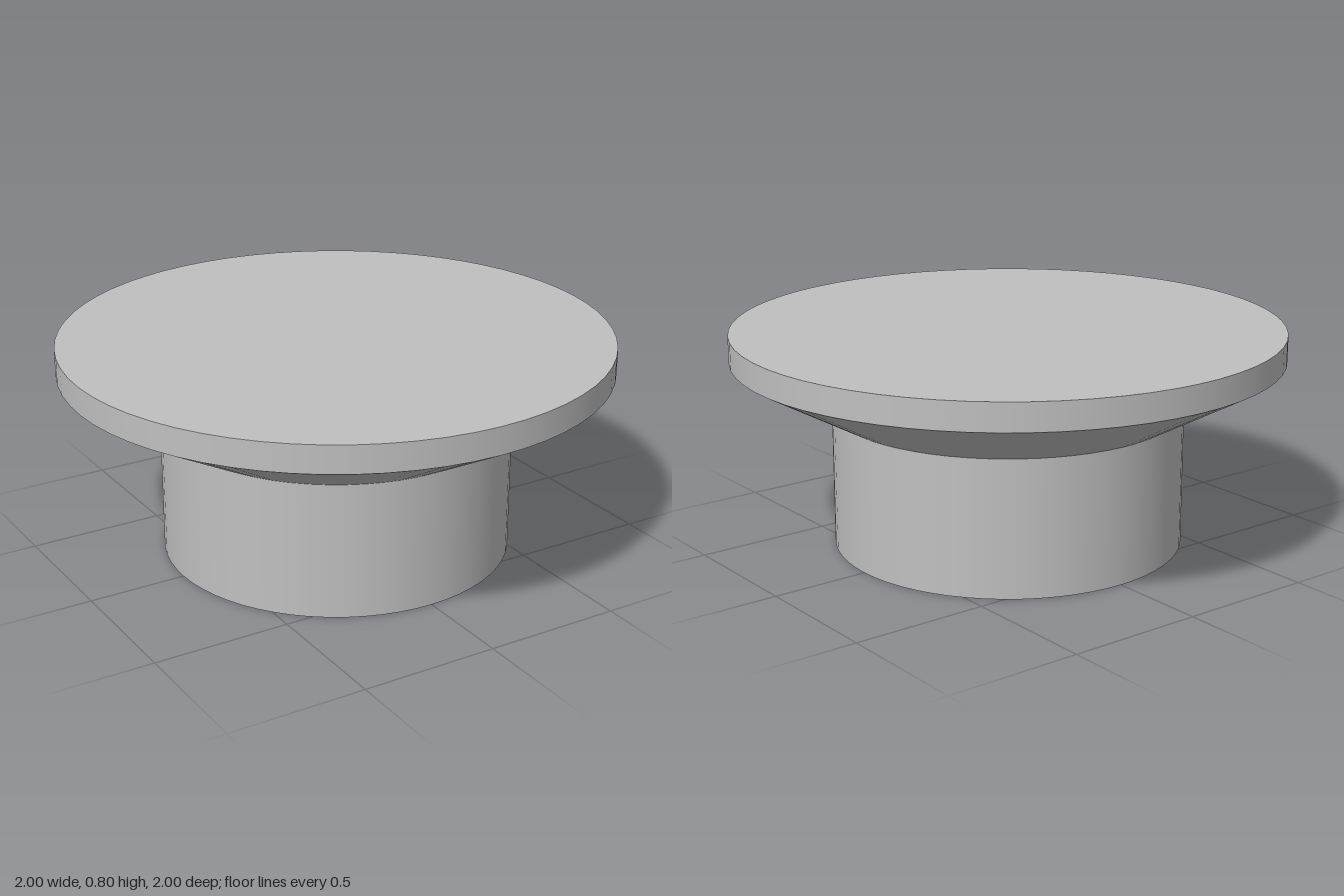
import * as THREE from 'three';

const SEGMENTS = 64;
const STEM_R = 0.64, RIM_R = 1;
const STEM_TOP = 0.5, FLARE_TOP = 0.7, RIM_TOP = 0.8;

export function createModel() {
  const group = new THREE.Group();
  group.name = 'flaredKnob';
  const grey = new THREE.MeshStandardMaterial({ color: 0xc0c0c0 });
  grey.name = 'plain grey';

  const add = (name, geometry, y) => {
    const mesh = new THREE.Mesh(geometry, grey);
    mesh.name = name;
    mesh.position.y = y;
    group.add(mesh);
    return mesh;
  };

  // Open band of wall between two heights
  const band = (name, rBottom, rTop, y0, y1) =>
    add(name, new THREE.CylinderGeometry(rTop, rBottom, y1 - y0, SEGMENTS, 1, true), (y0 + y1) / 2);

  // Flat disc closing one end; facing is 1 for up, -1 for down
  const disc = (name, radius, y, facing) => {
    add(name, new THREE.CircleGeometry(radius, SEGMENTS), y).rotation.x = -facing * Math.PI / 2;
  };

  disc('stemBase', STEM_R, 0, -1);
  band('stem', STEM_R, STEM_R, 0, STEM_TOP);
  band('flare', STEM_R, RIM_R, STEM_TOP, FLARE_TOP);
  band('rim', RIM_R, RIM_R, FLARE_TOP, RIM_TOP);
  disc('topFace', RIM_R, RIM_TOP, 1);

  return group;
}
